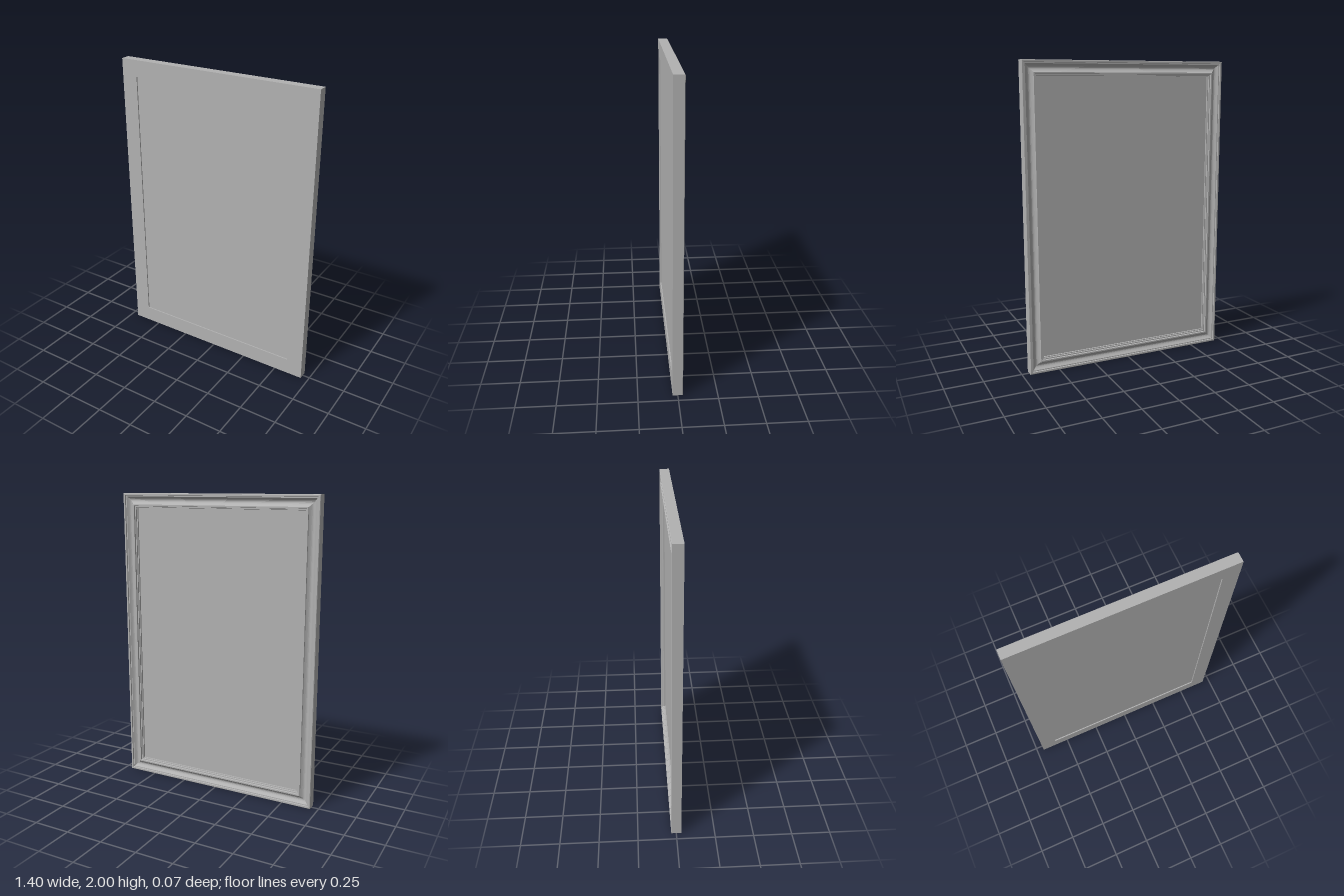
import * as THREE from 'three';

const W = 0.7, H = 1, D = 0.066; // half width, half height, depth

// Moulding cross-section: [distance in from the outer edge, height from the flat front toward the back]
function mouldingProfile() {
  const pts = [[0, 0], [0, 0.063], [0.003, D], [0.014, D], [0.016, 0.058], [0.022, 0.058]];
  // hollow scoop
  for (let i = 1; i <= 8; i++) {
    const t = i / 8;
    pts.push([0.022 + 0.05 * t, 0.058 - 0.016 * Math.sin(Math.PI * t)]);
  }
  // inner steps, sight edge and rebate for the panel
  pts.push([0.074, 0.064], [0.083, 0.064], [0.085, 0.054], [0.092, 0.054], [0.094, 0.047], [0.1, 0.047]);
  pts.push([0.1, 0.036], [0.11, 0.036], [0.11, 0]);
  return pts;
}

// Sweep the section round a rectangle with mitred corners
function mitredFrame(profile) {
  const corners = [[1, -1], [1, 1], [-1, 1], [-1, -1]];
  const at = ([sx, sy], [u, h]) => [sx * (W - u), H + sy * (H - u), D / 2 - h];
  const pos = [];
  corners.forEach((c0, k) => {
    const c1 = corners[(k + 1) % 4];
    profile.forEach((p0, i) => {
      const p1 = profile[(i + 1) % profile.length];
      const a = at(c0, p0), b = at(c1, p0), c = at(c1, p1), d = at(c0, p1);
      pos.push(...a, ...d, ...c, ...a, ...c, ...b);
    });
  });
  const geo = new THREE.BufferGeometry();
  geo.setAttribute('position', new THREE.Float32BufferAttribute(pos, 3));
  geo.computeVertexNormals();
  return geo;
}

export function createModel() {
  const group = new THREE.Group();
  group.name = 'pictureFrame';
  const grey = new THREE.MeshStandardMaterial({ color: 0xb2b2b2 });
  grey.name = 'grey';

  const frame = new THREE.Mesh(mitredFrame(mouldingProfile()), grey);
  frame.name = 'frameMoulding';

  // Panel set slightly below the flat front, seated in the rebate
  const panel = new THREE.Mesh(new THREE.BoxGeometry(2 * (W - 0.11), 2 * (H - 0.11), 0.028), grey);
  panel.name = 'panel';
  panel.position.set(0, H, D / 2 - 0.008 - 0.014);

  group.add(frame, panel);
  return group;
}
